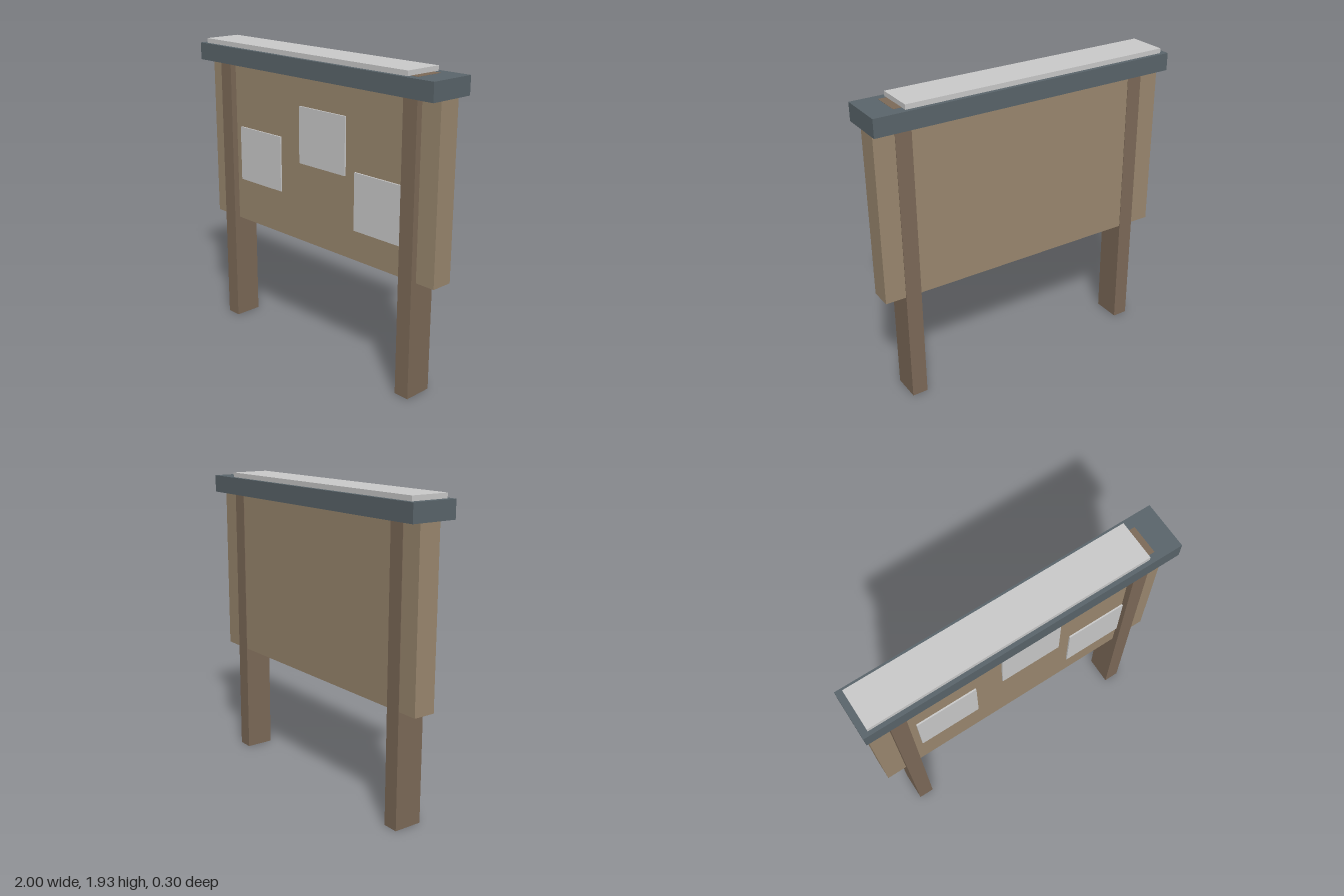
import * as THREE from 'three';

const material = (color) => new THREE.MeshStandardMaterial({ color, flatShading: true });

// Box given by its [min, max] range on each axis
function box(name, [x0, x1], [y0, y1], [z0, z1], mat) {
  const mesh = new THREE.Mesh(new THREE.BoxGeometry(x1 - x0, y1 - y0, z1 - z0), mat);
  mesh.position.set((x0 + x1) / 2, (y0 + y1) / 2, (z0 + z1) / 2);
  mesh.name = name;
  return mesh;
}

export function createModel() {
  const group = new THREE.Group();
  group.name = 'noticeBoard';
  const boardWood = material(0x9c8970);
  const postWood = material(0x7e6b59);
  const roofSlate = material(0x5b666c);
  const grey = material(0xcccccc);

  // Two posts, running up through the roof and just proud of the board's back
  for (const side of [-1, 1]) {
    const x = side * 0.8;
    group.add(box(side > 0 ? 'leftPost' : 'rightPost', [x - 0.05, x + 0.05], [0, 1.901], [-0.083, 0.1], postWood));
  }

  // Board
  group.add(box('board', [-0.98, 0.98], [0.725, 1.8], [-0.08, 0.06], boardWood));

  // Roof beam and the off-centre slab on it
  group.add(box('roof', [-1, 1], [1.79, 1.9], [-0.15, 0.15], roofSlate));
  group.add(box('roofSlab', [-0.96, 0.8], [1.89, 1.93], [-0.125, 0.125], grey));

  // Pinned notices, by lower corner
  [[-0.7, 1.01], [-0.12, 1.235], [0.36, 0.915]].forEach(([x, y], i) => {
    group.add(box(`notice${i + 1}`, [x, x + 0.4], [y, y + 0.36], [0.05, 0.07], grey));
  });

  return group;
}
